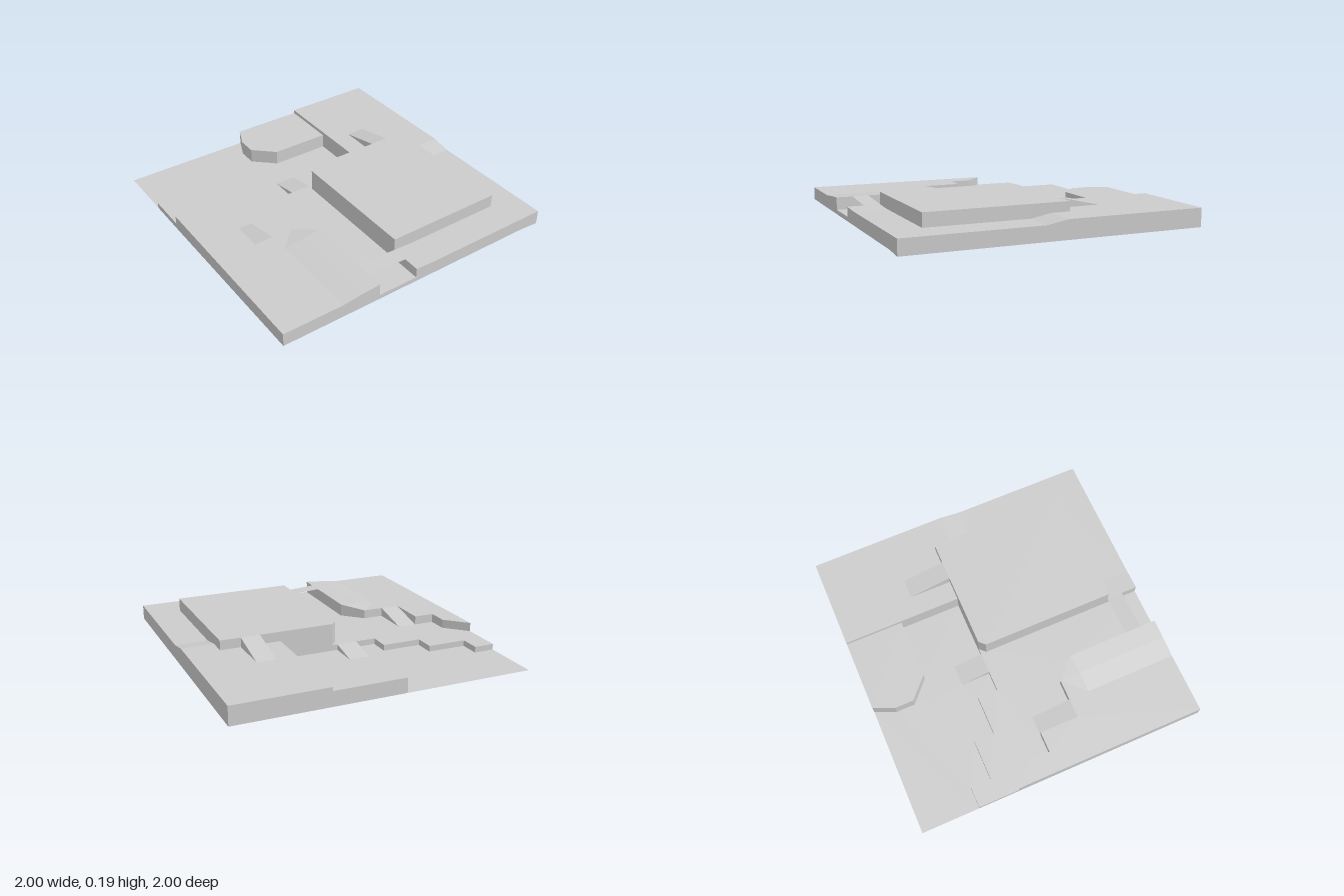
import * as THREE from 'three';

const material = new THREE.MeshStandardMaterial({ color: 0xcccccc, flatShading: true, side: THREE.DoubleSide });

function addMesh(parent, name, positions, index) {
  const g = new THREE.BufferGeometry();
  g.setAttribute('position', new THREE.Float32BufferAttribute(positions, 3));
  g.setIndex(index);
  g.computeVertexNormals();
  const mesh = new THREE.Mesh(g, material);
  mesh.name = name;
  parent.add(mesh);
}

// Upward-facing sheet over an outline of [x, z, y?]; y defaults to the given level
function sheet(parent, name, outline, level = 0) {
  const contour = outline.map(([x, z]) => new THREE.Vector2(x, -z));
  const pts = outline.slice();
  if (THREE.ShapeUtils.isClockWise(contour)) { contour.reverse(); pts.reverse(); }
  const faces = THREE.ShapeUtils.triangulateShape(contour, []);
  addMesh(parent, name, pts.flatMap(([x, z, y = level]) => [x, y, z]), faces.flat());
}

// Upright wall along a path of [x, z, low?, high?]
function wall(parent, name, path, low = 0, high = 0) {
  const positions = [], index = [];
  for (let i = 0; i + 1 < path.length; i++) {
    const b = i * 4;
    for (const [x, z, lo = low, hi = high] of [path[i], path[i + 1]]) positions.push(x, lo, z, x, hi, z);
    index.push(b, b + 2, b + 3, b, b + 3, b + 1);
  }
  addMesh(parent, name, positions, index);
}

export function createModel() {
  const model = new THREE.Group();
  model.name = 'terrainTile';

  // Heights of the terraces
  const GROUND = 0, CHANNEL = 0.04, TERRACE = 0.1, PLATEAU = 0.125, SLAB = 0.19;

  // Shared borders: ground/channel steps and channel/left terrace bank
  const steps = [[-1, -0.6], [-0.86, -0.6], [-0.86, -0.46], [-0.59, -0.46], [-0.59, -0.32],
    [-0.32, -0.32], [-0.32, -0.18], [-0.18, -0.18]];
  const bank = [[-1, -0.32], [-0.86, -0.18], [-0.86, -0.04], [-0.72, -0.04]];
  const blockEdge = [[-0.12, -1], [-0.18, -0.86], [-0.18, -0.73], [-0.04, -0.6], [0.37, -0.6]];

  // Low ground at the back
  sheet(model, 'ground', [[-1, -1], ...blockEdge, [0.37, -0.18], [-0.04, -0.18], [-0.04, -0.38],
    [-0.18, -0.38], ...steps.slice().reverse()], GROUND);
  wall(model, 'groundSteps', steps, GROUND, CHANNEL);
  wall(model, 'groundStepEnd', [[-0.04, -0.18], [0, -0.18]], GROUND, CHANNEL);

  // Channel running from the left edge to the front
  sheet(model, 'channelFloor', [...steps, [0, -0.18], [-0.04, -0.14], [-0.04, 1], [-0.32, 1], [-0.32, 0.36],
    [-0.45, 0.23], [-0.59, 0.23], [-0.59, -0.04], ...bank.slice().reverse()], CHANNEL);
  wall(model, 'channelBank', bank, CHANNEL, TERRACE);
  wall(model, 'channelBankFront', [[-0.59, 0.23], [-0.45, 0.23], [-0.32, 0.36, CHANNEL, PLATEAU],
    [-0.32, 1, CHANNEL, PLATEAU]], CHANNEL, TERRACE);

  // Left terrace with a rise towards the channel
  sheet(model, 'leftTerrace', [...bank, [-0.72, 0.23], [-0.59, 0.23], [-0.59, 1], [-1, 1]], TERRACE);
  const mid = 0.115;
  sheet(model, 'terraceRise', [[-0.59, 0.23], [-0.45, 0.23], [-0.45, 0.37, mid], [-0.59, 0.37]], TERRACE);
  sheet(model, 'terraceRise', [[-0.45, 0.23, TERRACE], [-0.32, 0.36, PLATEAU], [-0.45, 0.37, mid]]);
  sheet(model, 'terraceRise', [[-0.59, 0.37, TERRACE], [-0.45, 0.37, mid], [-0.45, 1, mid], [-0.59, 1, TERRACE]]);
  sheet(model, 'terraceRise', [[-0.45, 0.37, mid], [-0.32, 0.36, PLATEAU], [-0.32, 1, PLATEAU], [-0.45, 1, mid]]);

  // Ramps between levels, each with its side walls
  function ramp(name, x0, x1, z0, z1, lo, hi, sides) {
    sheet(model, name, [[x0, z0, lo], [x1, z0, lo], [x1, z1, hi], [x0, z1, hi]]);
    for (const x of sides) wall(model, name + 'Side', [[x, z0, lo, lo], [x, z1, lo, hi]]);
  }
  ramp('groundRamp', -0.18, -0.04, -0.38, -0.18, GROUND, CHANNEL, [-0.18, -0.04]);
  ramp('slabRamp', 0.51, 0.64, -0.47, -0.18, PLATEAU, SLAB, [0.51, 0.64]);
  ramp('channelRamp', -0.72, -0.59, -0.04, 0.23, CHANNEL, TERRACE, [-0.59]);
  wall(model, 'channelRampBank', [[-0.72, -0.04, CHANNEL, TERRACE], [-0.72, 0.23, TERRACE, TERRACE]]);
  ramp('edgeRamp', 0.78, 1, -0.05, 0.09, PLATEAU, TERRACE, []);

  // Thin bridge over the front of the channel
  const bridgeEnd = 0.107;
  sheet(model, 'bridge', [[-0.32, 0.78, PLATEAU], [-0.04, 0.78, bridgeEnd], [-0.04, 0.89, bridgeEnd], [-0.32, 0.89, PLATEAU]]);

  // Terrace wrapping the front of the slab
  sheet(model, 'frontTerrace', [[0.78, 0.09], [1, 0.09], [1, 1], [0.1, 1], [0.1, 0.78], [0.78, 0.78]], TERRACE);
  sheet(model, 'bridgeLanding', [[-0.04, 0.78, bridgeEnd], [0.1, 0.78], [0.1, 1], [-0.04, 1, bridgeEnd]], TERRACE);
  wall(model, 'channelRightWall', [[-0.04, 0.78], [-0.04, 1]], CHANNEL, bridgeEnd);

  // Back block with cut corners
  sheet(model, 'backBlock', [...blockEdge, [0.37, -1]], TERRACE);
  wall(model, 'backBlockWall', blockEdge, GROUND, TERRACE);

  // Plateau behind and beside the slab
  sheet(model, 'plateau', [[0.37, -1], [1, -1], [1, -0.05], [0.78, -0.05], [0.78, -0.18], [0.64, -0.18],
    [0.64, -0.47], [0.51, -0.47], [0.51, -0.18], [0.37, -0.18]], PLATEAU);
  wall(model, 'plateauStep', [[0.37, -1], [0.37, -0.6]], TERRACE, PLATEAU);
  wall(model, 'plateauWall', [[0.37, -0.6], [0.37, -0.18]], GROUND, PLATEAU);

  // Raised slab
  sheet(model, 'slabTop', [[0, -0.18], [0.78, -0.18], [0.78, 0.78], [-0.04, 0.78], [-0.04, -0.14]], SLAB);
  wall(model, 'slabLeftWall', [[-0.04, 0.78], [-0.04, -0.14], [0, -0.18]], CHANNEL, SLAB);
  wall(model, 'slabPitWall', [[0, -0.18], [0.37, -0.18]], GROUND, SLAB);
  wall(model, 'slabBackWall', [[0.37, -0.18], [0.51, -0.18]], PLATEAU, SLAB);
  wall(model, 'slabBackWall', [[0.64, -0.18], [0.78, -0.18]], PLATEAU, SLAB);
  wall(model, 'slabSideWall', [[0.78, -0.18, PLATEAU], [0.78, -0.05, PLATEAU], [0.78, 0.09], [0.78, 0.78],
    [0.1, 0.78], [-0.04, 0.78, bridgeEnd]], TERRACE, SLAB);

  // Outer skirt of the tile; the underside stays open
  const foot = 0.01;
  wall(model, 'backSkirt', [[1, -1], [0.37, -1]], 0, PLATEAU);
  wall(model, 'backSkirt', [[0.37, -1], [-0.12, -1]], 0, TERRACE);
  wall(model, 'rightSkirt', [[1, -1, 0, PLATEAU], [1, -0.05, 0, PLATEAU], [1, 0.09], [1, 1]], 0, TERRACE);
  wall(model, 'frontSkirt', [[1, 1, 0], [0.86, 1], [0.1, 1], [-0.04, 1, foot, bridgeEnd]], foot, TERRACE);
  wall(model, 'frontSkirt', [[-0.04, 1], [-0.32, 1]], foot, CHANNEL);
  wall(model, 'frontSkirt', [[-0.32, 1, foot, PLATEAU], [-0.45, 1, foot, mid], [-0.59, 1], [-1, 1]], foot, TERRACE);
  wall(model, 'leftSkirt', [[-1, 1, foot], [-1, -0.32]], 0, TERRACE);
  wall(model, 'leftSkirt', [[-1, -0.32], [-1, -0.6]], 0, CHANNEL);

  return model;
}
